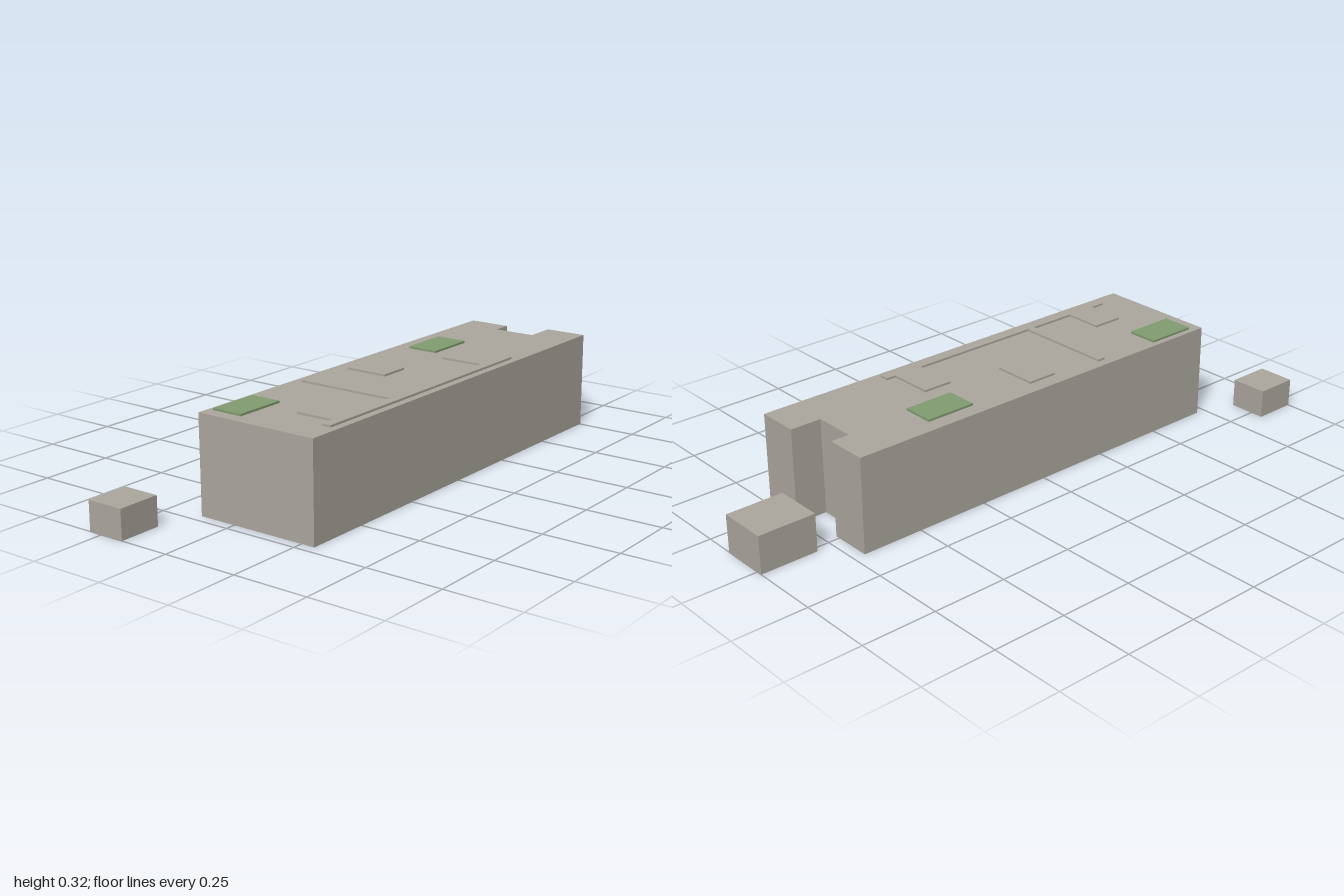
import * as THREE from 'three';

const BASE_TOP = 0.317, DETAIL = 0.007;

// Extrude a plan outline given as [x, z] points, from height y up by h
function slab(name, points, y, h, material) {
  const shape = new THREE.Shape(points.map(([x, z]) => new THREE.Vector2(x, -z)));
  const geometry = new THREE.ExtrudeGeometry(shape, { depth: h, bevelEnabled: false });
  geometry.rotateX(-Math.PI / 2);
  const mesh = new THREE.Mesh(geometry, material);
  mesh.name = name;
  mesh.position.y = y;
  return mesh;
}

// Box from its plan extents
function block(name, x0, x1, z0, z1, y, h, material) {
  const mesh = new THREE.Mesh(new THREE.BoxGeometry(x1 - x0, h, z1 - z0), material);
  mesh.name = name;
  mesh.position.set((x0 + x1) / 2, y + h / 2, (z0 + z1) / 2);
  return mesh;
}

export function createModel() {
  const stone = new THREE.MeshStandardMaterial({ color: 0xaca79e });
  stone.name = 'stone';
  const grass = new THREE.MeshStandardMaterial({ color: 0x829c70 });
  grass.name = 'grass';

  const model = new THREE.Group();
  model.name = 'plateau';

  // Main block with a notch in its left end
  model.add(slab('mainBlock', [
    [-0.717, 0.296], [0.754, 0.296], [0.754, 0.155], [0.648, 0.155],
    [0.648, 0.014], [0.711, 0.014], [0.711, -0.126], [-0.717, -0.126],
  ], 0, BASE_TOP, stone));

  // Two detached low blocks
  model.add(block('leftOutlyingBlock', 0.804, 1, -0.02, 0.148, 0, 0.127, stone));
  model.add(block('rightOutlyingBlock', -1, -0.856, -0.295, -0.168, 0, 0.096, stone));

  // Raised paving: a front strip with two bays and a long arm
  model.add(slab('paving', [
    [-0.61, 0.272], [0.332, 0.272], [0.332, 0.242], [0.299, 0.242],
    [0.299, 0.093], [0.197, 0.093], [0.197, 0.242], [-0.262, 0.242],
    [-0.262, -0.095], [-0.289, -0.095], [-0.289, 0.242], [-0.455, 0.242],
    [-0.455, 0.112], [-0.561, 0.112], [-0.561, 0.242], [-0.61, 0.242],
  ], BASE_TOP, DETAIL, stone));
  model.add(block('centrePad', -0.087, 0.015, -0.076, 0.072, BASE_TOP, DETAIL, stone));

  // Green lawns
  model.add(block('rightLawn', -0.676, -0.505, -0.106, -0.001, BASE_TOP, DETAIL, grass));
  model.add(block('leftLawn', 0.249, 0.42, -0.075, 0.031, BASE_TOP, DETAIL, grass));

  return model;
}
